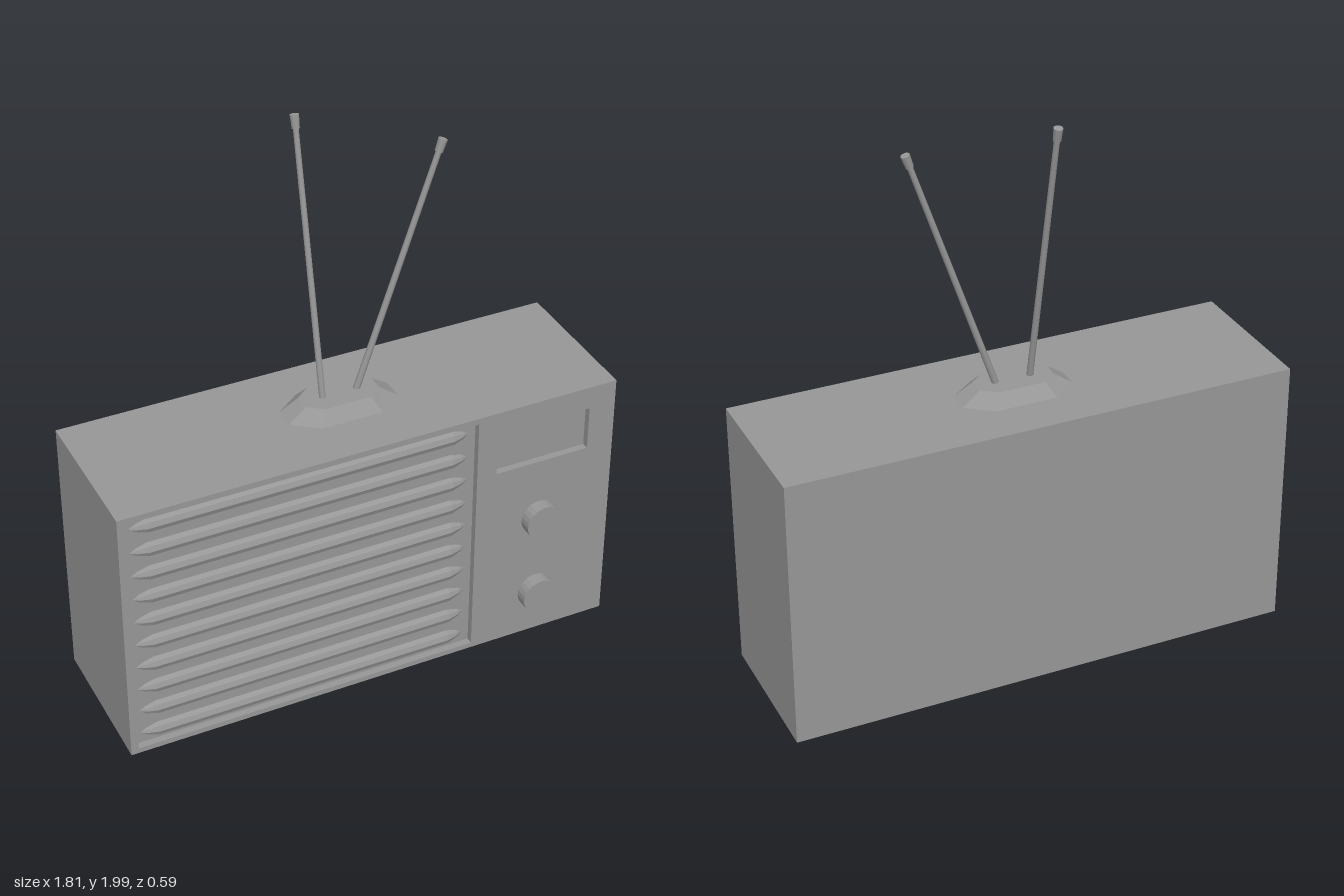
import * as THREE from 'three';

const material = new THREE.MeshStandardMaterial({ color: 0x979797, flatShading: true });
const smooth = new THREE.MeshStandardMaterial({ color: 0x979797 });

export function createModel() {
  const model = new THREE.Group();

  function add(name, geometry, x = 0, y = 0, z = 0, mat = material, parent = model) {
    const mesh = new THREE.Mesh(geometry, mat);
    mesh.name = name;
    mesh.position.set(x, y, z);
    parent.add(mesh);
    return mesh;
  }

  function rectangle(path, x0, y0, x1, y1) {
    path.moveTo(x0, y0).lineTo(x1, y0).lineTo(x1, y1).lineTo(x0, y1).closePath();
    return path;
  }

  // Cabinet, with a front plate cut out for the grille and the dial window
  add('cabinet', new THREE.BoxGeometry(1.81, 0.984, 0.52), 0, 0.5, -0.035);
  const plate = rectangle(new THREE.Shape(), -0.905, 0.008, 0.905, 0.992);
  plate.holes.push(
    rectangle(new THREE.Path(), -0.878, 0.028, 0.38, 0.97),
    rectangle(new THREE.Path(), 0.453, 0.742, 0.806, 0.907)
  );
  add('frontPlate', new THREE.ExtrudeGeometry(plate, { depth: 0.025, bevelEnabled: false }), 0, 0, 0.225);

  // Ten horizontal ribs with pointed ends
  const ribProfile = [
    [0, -0.607], [0.014, -0.585], [0.026, -0.545],
    [0.026, 0.545], [0.014, 0.585], [0, 0.607]
  ].map(([r, y]) => new THREE.Vector2(r, y));
  const ribGeometry = new THREE.LatheGeometry(ribProfile, 8);
  ribGeometry.rotateZ(Math.PI / 2).scale(1, 1, 0.9);
  const grille = new THREE.Group();
  grille.name = 'grille';
  model.add(grille);
  for (let i = 0; i < 10; i++) {
    add('grilleRib', ribGeometry, -0.253, 0.071 + i * 0.095, 0.225, material, grille);
  }

  // Tuning and volume knobs
  const knobGeometry = new THREE.CylinderGeometry(0.067, 0.067, 0.047, 24).rotateX(Math.PI / 2);
  add('tuningKnob', knobGeometry, 0.628, 0.507, 0.2725);
  add('volumeKnob', knobGeometry, 0.628, 0.184, 0.2725);

  // Antenna foot: a stretched octagon with sloping sides
  const octagon = (hx, hz, cx, cz, y) => [
    [hx, -cz], [cx, -hz], [-cx, -hz], [-hx, -cz],
    [-hx, cz], [-cx, hz], [cx, hz], [hx, cz]
  ].map(([x, z]) => [x, y, z]);
  const lower = octagon(0.2, 0.108, 0.11, 0.04, 0);
  const upper = octagon(0.135, 0.07, 0.085, 0.03, 0.045);
  const corners = [];
  for (let i = 0; i < 8; i++) {
    const j = (i + 1) % 8;
    corners.push(lower[i], lower[j], upper[j], lower[i], upper[j], upper[i]);
    corners.push([0, 0.045, 0], upper[i], upper[j]);
  }
  // Turn each face outward
  corners.forEach((_, i) => {
    if (i % 3) return;
    const [a, b, c] = corners.slice(i, i + 3).map((p) => new THREE.Vector3(...p));
    const normal = b.clone().sub(a).cross(c.clone().sub(a));
    if (normal.y < 0) [corners[i + 1], corners[i + 2]] = [corners[i + 2], corners[i + 1]];
  });
  const footGeometry = new THREE.BufferGeometry();
  footGeometry.setAttribute('position', new THREE.Float32BufferAttribute(corners.flat(), 3));
  footGeometry.computeVertexNormals();
  add('antennaFoot', footGeometry, 0, 0.992, -0.032);

  // Two telescopic rods, each with a wider tip
  function antenna(name, from, to) {
    const group = new THREE.Group();
    group.name = name;
    const direction = to.clone().sub(from);
    const length = direction.length();
    group.position.copy(from);
    group.quaternion.setFromUnitVectors(new THREE.Vector3(0, 1, 0), direction.normalize());
    add('rod', new THREE.CylinderGeometry(0.01, 0.012, length, 8), 0, length / 2, 0, smooth, group);
    add('tip', new THREE.CylinderGeometry(0.016, 0.014, 0.045, 8), 0, length - 0.0225, 0, smooth, group);
    model.add(group);
  }
  antenna('rearAntenna', new THREE.Vector3(-0.06, 1.02, -0.03), new THREE.Vector3(-0.061, 1.997, -0.227));
  antenna('sideAntenna', new THREE.Vector3(0.06, 1.02, -0.033), new THREE.Vector3(0.367, 1.906, -0.03));

  return model;
}
